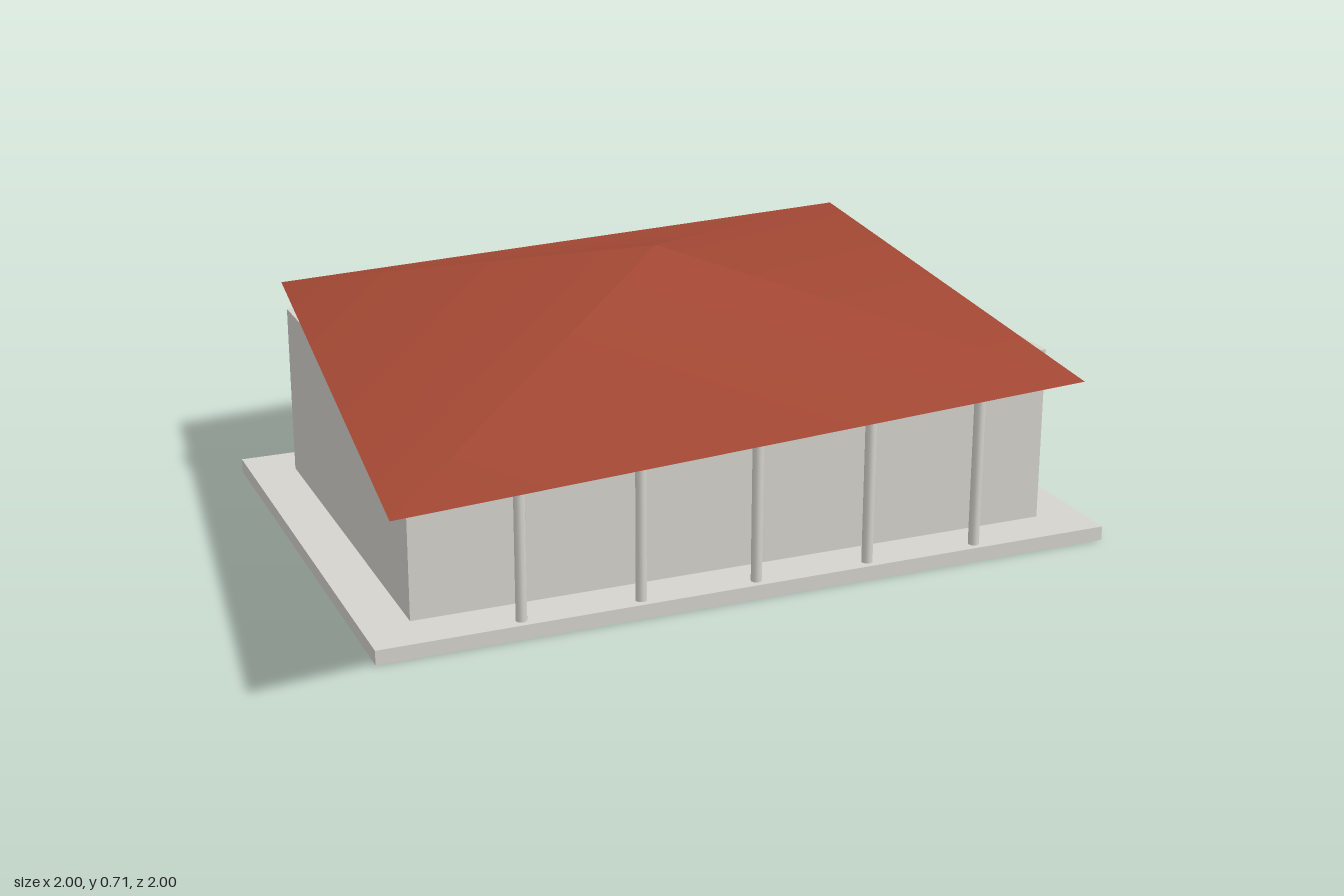
import * as THREE from 'three';

const plaster = new THREE.MeshStandardMaterial({ color: 0xd6d4cd });
plaster.name = 'plaster';
const tile = new THREE.MeshStandardMaterial({ color: 0xa34834 });
tile.name = 'roofTile';

const SLAB_TOP = 0.036;
const EAVES = 0.485;
const PEAK = 0.707;

export function createModel() {
  const model = new THREE.Group();
  model.name = 'pavilion';

  const add = (name, geometry, material, x, y, z) => {
    const mesh = new THREE.Mesh(geometry, material);
    mesh.name = name;
    mesh.position.set(x, y, z);
    model.add(mesh);
    return mesh;
  };

  const wallHeight = EAVES - SLAB_TOP;
  const wallMiddle = (EAVES + SLAB_TOP) / 2;

  // Base slab and closed hall
  add('baseSlab', new THREE.BoxGeometry(1.9, SLAB_TOP, 1.31), plaster, 0, SLAB_TOP / 2, 0);
  add('hall', new THREE.BoxGeometry(1.664, wallHeight, 1.066), plaster, 0, wallMiddle, 0);

  // Row of slim columns along the front porch
  const columnGeometry = new THREE.CylinderGeometry(0.0142, 0.0142, wallHeight, 8);
  for (let i = -2; i <= 2; i++) {
    add('column', columnGeometry, plaster, i * 0.297, wallMiddle, 0.626);
  }

  // Four-sided roof: narrowed along one diagonal, so the eaves form a rhombus
  const roof = add('roof', new THREE.ConeGeometry(Math.SQRT2, PEAK - EAVES, 4), tile,
    0, (EAVES + PEAK) / 2, 0);
  roof.scale.z = 0.785;
  roof.rotation.y = Math.PI / 4;

  return model;
}
